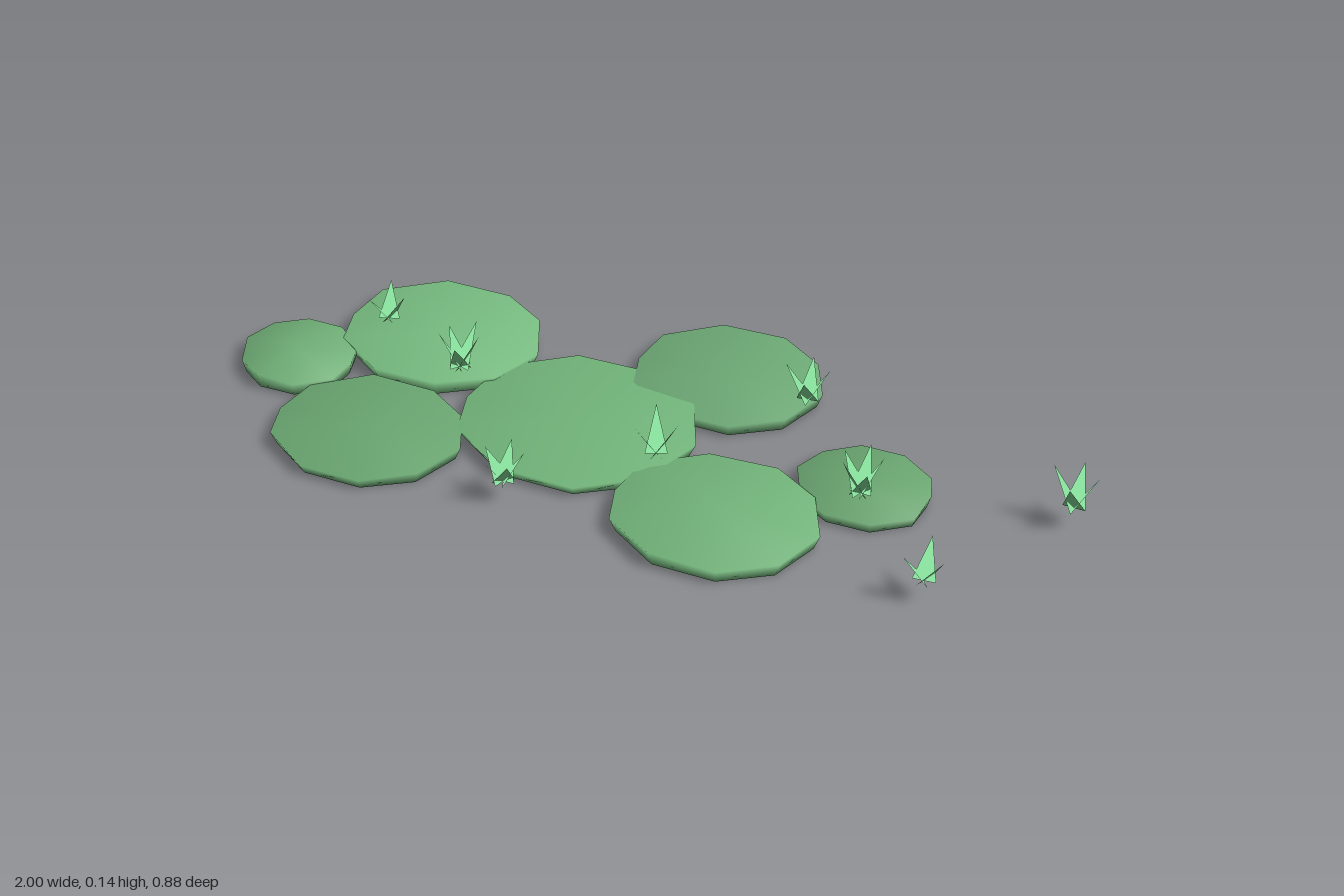
import * as THREE from 'three';

function seeded(seed) {
  let s = seed;
  return () => (s = (s * 16807) % 2147483647) / 2147483647;
}

// Uneven ten-sided outline shared by all slabs, running from +x towards +z
const outline = [
  [1, .03], [.78, .65], [.28, 1], [-.38, .96], [-.89, .53],
  [-1, .02], [-.92, -.57], [-.37, -1], [.32, -.98], [.78, -.62],
];

// Slabs: centre, radii, half turn of the outline and top height
const pads = [
  { name: 'centrePad', color: 0x72b57a, x: -.155, z: .028, rx: .275, rz: .238, turn: 1, top: .038 },
  { name: 'backRightPad', color: 0x78bd81, x: -.58, z: -.18, rx: .237, rz: .205, turn: 1, top: .042 },
  { name: 'smallRightPad', color: 0x71b078, x: -.865, z: .012, rx: .135, rz: .126, turn: -1, top: .042 },
  { name: 'frontRightPad', color: 0x6aa671, x: -.58, z: .22, rx: .221, rz: .185, turn: 1, top: .036 },
  { name: 'backLeftPad', color: 0x6eaa76, x: .1, z: -.25, rx: .222, rz: .19, turn: 1, top: .04 },
  { name: 'frontLeftPad', color: 0x73b57b, x: .242, z: .243, rx: .23, rz: .192, turn: 1, top: .043 },
  { name: 'smallLeftPad', color: 0x6ba671, x: .5, z: .032, rx: .15, rz: .13, turn: -1, top: .036 },
];

// Grass tufts: position, blade height, blade count and first direction in degrees
const tufts = [
  { x: -.72, z: -.17, h: .075, blades: 3, start: 15 },
  { x: -.48, z: -.045, h: .098, blades: 5, start: 5 },
  { x: -.215, z: .32, h: .076, blades: 5, start: -18 },
  { x: .055, z: .11, h: .096, blades: 3, start: 10 },
  { x: .3, z: -.2, h: .09, blades: 4, start: -5 },
  { x: .51, z: .09, h: .098, blades: 5, start: -12 },
  { x: .715, z: .325, h: .075, blades: 3, start: 28 },
  { x: .945, z: -.02, h: .098, blades: 4, start: 5 },
];

// Slab with soft shading: narrower base ring, uneven rim, slightly raised centre
function padGeometry({ rx, rz, turn, top }, rand) {
  const n = outline.length;
  const pos = [], index = [];
  outline.forEach(([u, v], i) => {
    const x = u * rx * turn, z = v * rz * turn;
    pos.push(x * 0.94, 0, z * 0.94);
    pos.push(x, top - 0.003 - rand() * 0.009, z);
    const a = 2 * i, b = 2 * ((i + 1) % n);
    index.push(a, a + 1, b, b, a + 1, b + 1);
    index.push(2 * n, a, b, 2 * n + 1, b + 1, a + 1);
  });
  pos.push(0, 0, 0, 0, top, 0);
  const geo = new THREE.BufferGeometry();
  geo.setAttribute('position', new THREE.Float32BufferAttribute(pos, 3));
  geo.setIndex(index);
  geo.computeVertexNormals();
  return geo;
}

// Blade: flat triangle leaning outwards along +x, shaded as if facing the sky
function bladeGeometry(height, reach) {
  const geo = new THREE.BufferGeometry();
  const pos = [0, 0, -0.025, 0, 0, 0.025, reach, height, 0];
  geo.setAttribute('position', new THREE.Float32BufferAttribute(pos, 3));
  geo.setAttribute('normal', new THREE.Float32BufferAttribute([0, 1, 0, 0, 1, 0, 0, 1, 0], 3));
  return geo;
}

export function createModel() {
  const model = new THREE.Group();
  const rand = seeded(41);

  for (const spec of pads) {
    const material = new THREE.MeshStandardMaterial({ color: spec.color });
    const pad = new THREE.Mesh(padGeometry(spec, rand), material);
    pad.name = spec.name;
    pad.position.set(spec.x, 0, spec.z);
    model.add(pad);
  }

  const grass = new THREE.MeshStandardMaterial({ color: 0x8ce8a1, side: THREE.DoubleSide });
  for (const { x, z, h, blades, start } of tufts) {
    const tuft = new THREE.Group();
    tuft.name = 'grassTuft';
    tuft.position.set(x, 0.047, z);
    for (let i = 0; i < blades; i++) {
      const height = i % 2 ? h * (0.8 + 0.15 * rand()) : h;
      const blade = new THREE.Mesh(bladeGeometry(height, 0.046 + rand() * 0.01), grass);
      blade.name = 'grassBlade';
      blade.rotation.y = -THREE.MathUtils.degToRad(start + i * 360 / blades);
      tuft.add(blade);
    }
    model.add(tuft);
  }
  return model;
}
